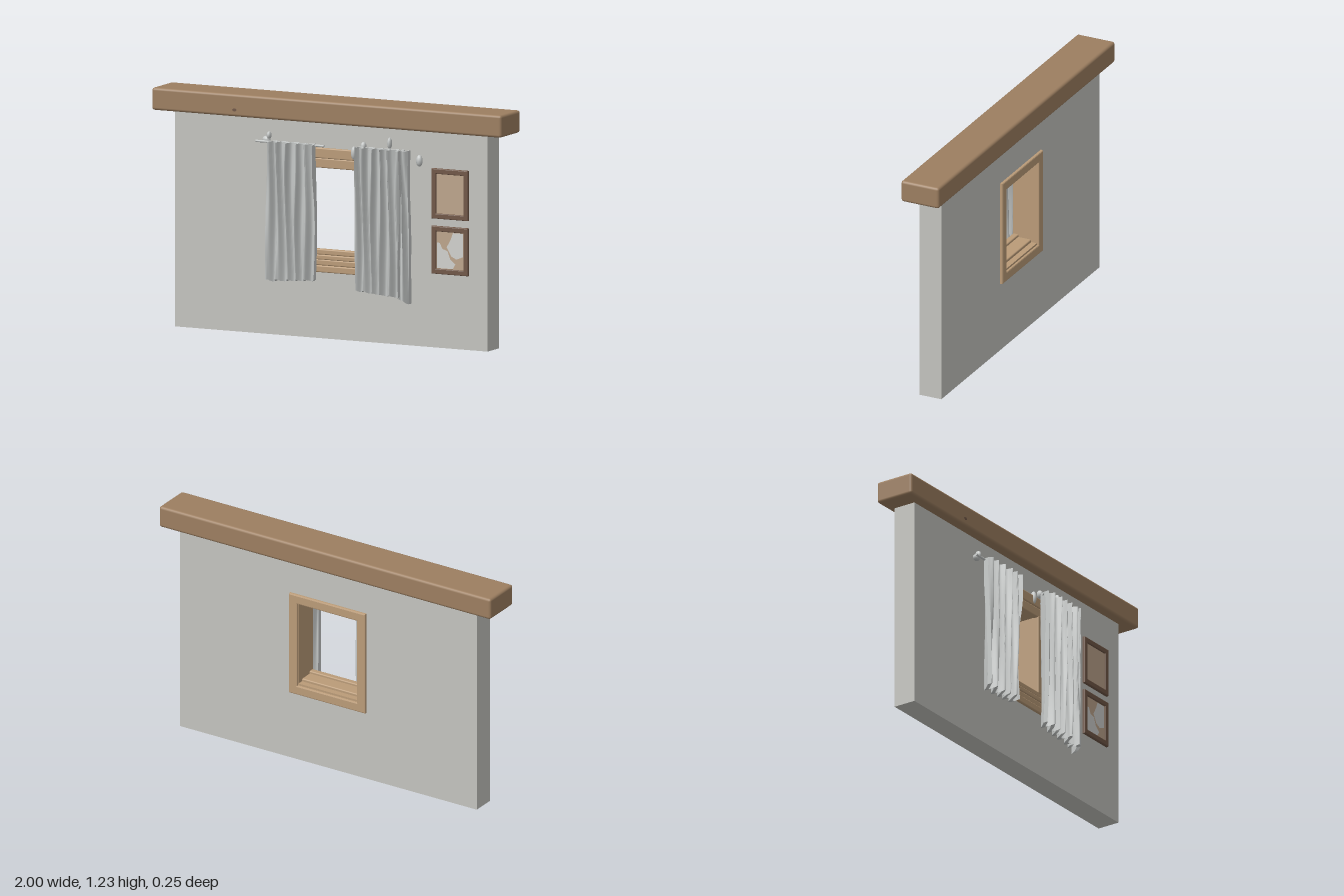
import * as THREE from 'three';
import { RoundedBoxGeometry } from 'three/addons/geometries/RoundedBoxGeometry.js';

const mat = (name, color, side = THREE.FrontSide) => {
  const m = new THREE.MeshStandardMaterial({ color, side });
  m.name = name;
  return m;
};

function rect(path, x0, y0, x1, y1) {
  path.moveTo(x0, y0);
  path.lineTo(x1, y0);
  path.lineTo(x1, y1);
  path.lineTo(x0, y1);
  path.closePath();
  return path;
}

// Rectangular slab with a rectangular hole, between depths z0 and z1
function ring(outer, inner, z0, z1, bevel = 0) {
  const b = bevel;
  const shape = rect(new THREE.Shape(), outer[0] + b, outer[1] + b, outer[2] - b, outer[3] - b);
  shape.holes.push(rect(new THREE.Path(), inner[0] - b, inner[1] - b, inner[2] + b, inner[3] + b));
  return new THREE.ExtrudeGeometry(shape, {
    depth: z1 - z0 - 2 * b, bevelEnabled: b > 0, bevelSize: b, bevelThickness: b, bevelSegments: 2,
  }).translate(0, 0, z0 + b);
}

function board(x0, x1, y0, y1, z0, z1, r = 0.006) {
  return new RoundedBoxGeometry(x1 - x0, y1 - y0, z1 - z0, 2, r)
    .translate((x0 + x1) / 2, (y0 + y1) / 2, (z0 + z1) / 2);
}

// Hanging cloth: a thin box pushed into folds, with an uneven hem
function curtain(x0, x1, top, hemLeft, hemRight, folds, seed) {
  const g = new THREE.BoxGeometry(1, 1, 0.026, folds * 12, 14, 1);
  const p = g.attributes.position;
  for (let i = 0; i < p.count; i++) {
    const u = p.getX(i) + 0.5, v = p.getY(i) + 0.5;
    const a = (u * folds + 0.12 * Math.sin(v * 5 + seed + u * 9)) * Math.PI * 2 + seed;
    const wave = Math.sin(a) + 0.25 * Math.sin(2.1 * a + 3 * v);
    const hem = hemLeft + (hemRight - hemLeft) * u + 0.008 * Math.sin(a);
    const x = x0 + (x1 - x0) * u + 0.006 * Math.cos(a) * Math.sin(Math.PI * u);
    p.setXYZ(i, x, hem + (top - hem) * v, 0.086 + p.getZ(i) + wave * 0.021);
  }
  g.computeVertexNormals();
  return g;
}

export function createModel() {
  const model = new THREE.Group();
  model.name = 'wallWithWindow';

  const plaster = mat('plaster', 0xc3c3be);
  const beamWood = mat('beamWood', 0x9c7e60);
  const paleWood = mat('paleWood', 0xba9b78);
  const darkWood = mat('darkWood', 0x705747);
  const cloth = mat('cloth', 0xc6c9c8, THREE.DoubleSide);
  const panel = mat('panel', 0xbca48b);
  const palePatch = mat('palePatch', 0xd0d0cd);

  const add = (name, geometry, material, parent = model) => {
    const m = new THREE.Mesh(geometry, material);
    m.name = name;
    parent.add(m);
    return m;
  };

  // Wall with the window opening, and the beam on top
  add('wall', ring([-0.895, 0, 0.895, 1.12], [-0.2, 0.4, 0.2, 0.9], -0.088, 0.035), plaster);
  add('topBeam', board(-1, 1, 1.11, 1.225, -0.125, 0.09, 0.014), beamWood);
  const knot = add('beamKnot', new THREE.CircleGeometry(0.012, 10), darkWood);
  knot.position.set(-0.525, 1.145, 0.091);
  knot.scale.y = 0.7;

  // Window: lining through the wall, frame on the back, boards on the front
  const win = new THREE.Group();
  win.name = 'window';
  model.add(win);
  add('windowLining', ring([-0.202, 0.395, 0.202, 0.905], [-0.178, 0.43, 0.178, 0.878], -0.092, 0.038), paleWood, win);
  add('backFrame', ring([-0.23, 0.37, 0.23, 0.93], [-0.18, 0.42, 0.18, 0.88], -0.103, -0.08, 0.006), paleWood, win);
  add('innerSill', board(-0.18, 0.18, 0.41, 0.445, -0.06, 0.04), paleWood, win);
  [[0.34, 0.375, 0.05], [0.375, 0.405, 0.044], [0.405, 0.43, 0.048], [0.43, 0.458, 0.044]].forEach(([y0, y1, z]) =>
    add('frontSillBoard', board(-0.22, 0.22, y0, y1, 0.012, z), paleWood, win));
  [[0.875, 0.925, 0.044], [0.925, 0.978, 0.05]].forEach(([y0, y1, z]) =>
    add('frontHeadBoard', board(-0.22, 0.22, y0, y1, 0.012, z), paleWood, win));
  for (const s of [-1, 1]) {
    add('frontJamb', board(s * 0.2 - 0.022, s * 0.2 + 0.022, 0.45, 0.885, 0.012, 0.046), paleWood, win);
  }

  // Curtains
  add('rightCurtain', curtain(-0.335, -0.065, 1.0, 0.285, 0.305, 5, 0.4), cloth);
  add('leftCurtain', curtain(0.175, 0.425, 1.005, 0.27, 0.25, 5, 2.1), cloth);
  add('leftCurtainTail', curtain(0.418, 0.465, 1.005, 0.245, 0.225, 1, 4.2), cloth);

  // Remains of the curtain rail: short rods and lumpy hooks
  for (const [x0, x1] of [[-0.41, -0.02], [0.17, 0.45]]) {
    const rod = add('curtainRod', new THREE.CylinderGeometry(0.006, 0.006, x1 - x0, 8), cloth);
    rod.rotation.z = Math.PI / 2;
    rod.position.set((x0 + x1) / 2, 0.993, 0.075);
  }
  const hooks = [[-0.365, 1.0, 0.022, 0.018], [-0.35, 1.022, 0.011, 0.02], [0.135, 0.965, 0.014, 0.035],
    [0.34, 1.03, 0.011, 0.03], [0.19, 1.005, 0.014, 0.022], [0.51, 0.953, 0.017, 0.03]];
  for (const [x, y, w, h] of hooks) {
    const hook = add('curtainHook', new THREE.SphereGeometry(1, 10, 8), cloth);
    hook.position.set(x, y, 0.045);
    hook.scale.set(w, h, 0.018);
  }

  // Two framed panels beside the window
  for (const [y0, y1] of [[0.663, 0.92], [0.38, 0.625]]) {
    const picture = new THREE.Group();
    picture.name = 'framedPanel';
    model.add(picture);
    add('panelFrame', ring([0.58, y0, 0.788, y1], [0.606, y0 + 0.027, 0.762, y1 - 0.027], 0.03, 0.05, 0.004), darkWood, picture);
    add('panelFace', board(0.6, 0.768, y0 + 0.02, y1 - 0.02, 0.03, 0.041, 0.002), panel, picture);
  }

  // Worn pale patches on the lower panel
  const patches = [
    [[0.61, 0.41], [0.7, 0.41], [0.715, 0.435], [0.685, 0.46], [0.67, 0.5], [0.64, 0.51], [0.625, 0.54], [0.61, 0.54]],
    [[0.665, 0.52], [0.69, 0.475], [0.72, 0.46], [0.757, 0.475], [0.757, 0.595], [0.70, 0.595], [0.69, 0.565]],
  ];
  for (const pts of patches) {
    const shape = new THREE.Shape(pts.map(([x, y]) => new THREE.Vector2(x, y)));
    add('wornPatch', new THREE.ShapeGeometry(shape).translate(0, 0, 0.0425), palePatch);
  }

  return model;
}
